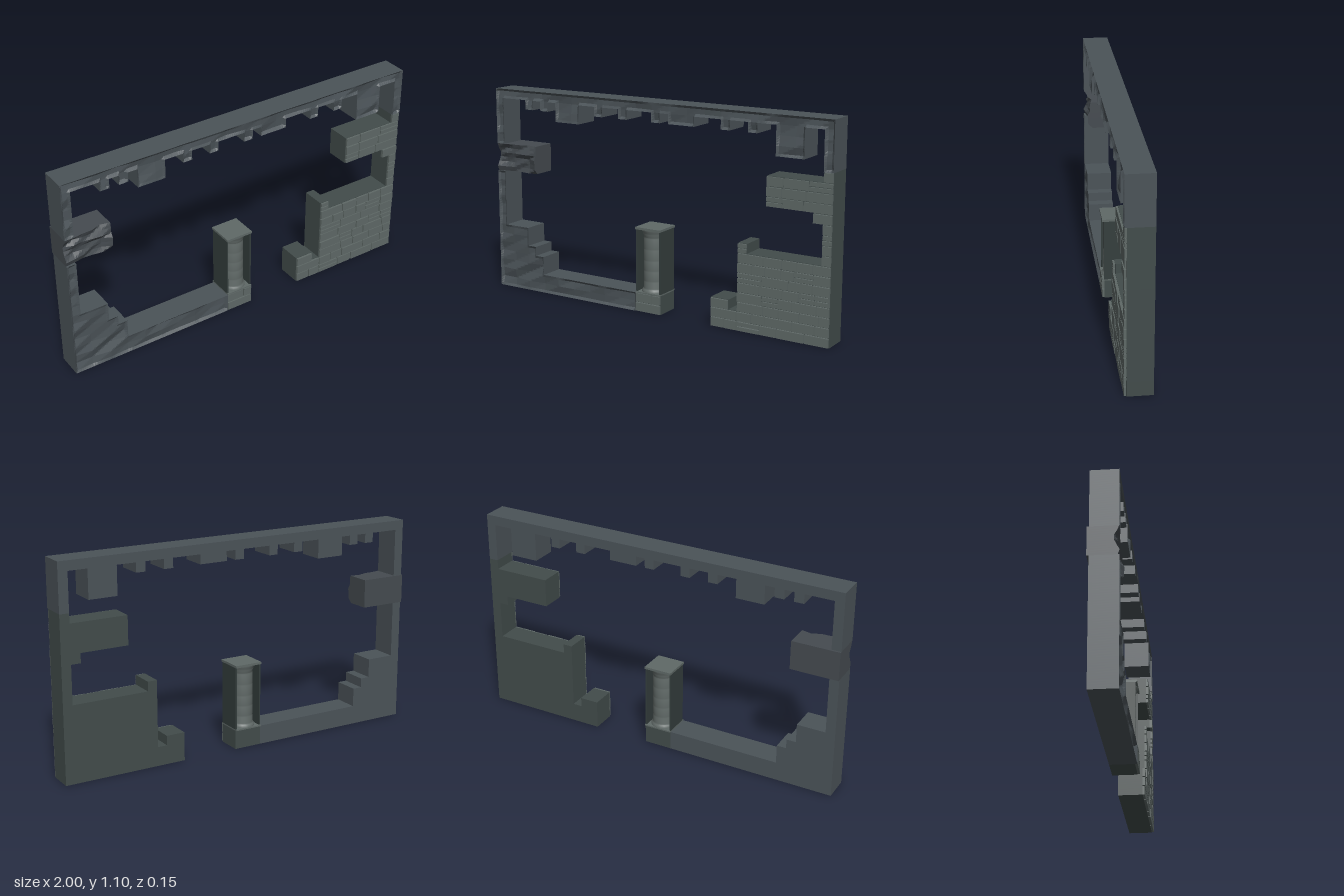
import * as THREE from 'three';
import { mergeGeometries } from 'three/addons/utils/BufferGeometryUtils.js';

const U = 0.05;      // every outline sits on this grid
const BACK = -0.065; // back plane of the walls
const SUB = 4;       // relief steps per grid cell

const mat = (color, flatShading = true) => new THREE.MeshStandardMaterial({ color, flatShading });
const rockMat = mat(0x4b5358), woodMat = mat(0x454b50), wallMat = mat(0x424c4b);
const brickMat = mat(0x5f6967), darkMat = mat(0x343e3d), stoneMat = mat(0x626b69, false);
[rockMat, woodMat, wallMat].forEach((m) => { m.side = THREE.DoubleSide; });

// Repeatable noise
function hash(i, j) {
  const s = Math.sin(i * 127.1 + j * 311.7 + 4.3) * 43758.5453;
  return s - Math.floor(s);
}
function seeded(seed) {
  return () => hash(seed++, 7.7);
}
// Flat triangular facets over a lattice of random heights
function facets(x, y, cx, cy) {
  const u = x / cx, v = y / cy, i = Math.floor(u), j = Math.floor(v);
  const a = u - i, b = v - j, h00 = hash(i, j), h11 = hash(i + 1, j + 1);
  return a > b
    ? h00 + a * (hash(i + 1, j) - h00) + b * (h11 - hash(i + 1, j))
    : h00 + b * (hash(i, j + 1) - h00) + a * (h11 - hash(i, j + 1));
}

function inside(pts, x, y) {
  let c = false;
  pts.forEach(([x1, y1], i) => {
    const [x2, y2] = pts[(i + 1) % pts.length];
    if ((y1 > y) !== (y2 > y) && x < x1 + ((y - y1) / (y2 - y1)) * (x2 - x1)) c = !c;
  });
  return c;
}

// Slab from an outline in grid units: relief front, straight sides, flat back
function slab(pts, back, height) {
  const pos = [];
  const quad = (a, b, c, d) => pos.push(...a, ...b, ...c, ...a, ...c, ...d);
  const solid = (i, j) => inside(pts, i + 0.5, j + 0.5);
  const front = (i, j) => {
    const e = 0.05;
    const edge = ![[-e, -e], [e, -e], [e, e], [-e, e]].every(([p, q]) => inside(pts, i + p, j + q));
    return [i * U, j * U, height(i * U, j * U, edge)];
  };
  const rear = (p) => [p[0], p[1], back];
  const xs = pts.map((p) => p[0]), ys = pts.map((p) => p[1]);
  for (let i = Math.min(...xs); i < Math.max(...xs); i++) {
    for (let j = Math.min(...ys); j < Math.max(...ys); j++) {
      if (!solid(i, j)) continue;
      const wall = (ax, ay, bx, by) => {
        for (let k = 0; k < SUB; k++) {
          const at = (t) => front(ax + (bx - ax) * t, ay + (by - ay) * t);
          const p = at(k / SUB), q = at((k + 1) / SUB);
          quad(p, rear(p), rear(q), q);
        }
      };
      if (!solid(i, j - 1)) wall(i, j, i + 1, j);
      if (!solid(i + 1, j)) wall(i + 1, j, i + 1, j + 1);
      if (!solid(i, j + 1)) wall(i + 1, j + 1, i, j + 1);
      if (!solid(i - 1, j)) wall(i, j + 1, i, j);
      for (let a = 0; a < SUB; a++) {
        for (let b = 0; b < SUB; b++) {
          const x = i + a / SUB, y = j + b / SUB, s = 1 / SUB;
          quad(front(x, y), front(x + s, y), front(x + s, y + s), front(x, y + s));
        }
      }
    }
  }
  const outline = pts.map(([x, y]) => new THREE.Vector2(x * U, y * U));
  for (const [a, b, c] of THREE.ShapeUtils.triangulateShape(outline, [])) {
    for (const k of [a, c, b]) pos.push(outline[k].x, outline[k].y, back);
  }
  const g = new THREE.BufferGeometry();
  g.setAttribute('position', new THREE.Float32BufferAttribute(pos, 3));
  g.computeVertexNormals();
  return g;
}

// Courses of uneven bricks over a rectangle in grid units
function bricks(rects, rnd) {
  const list = [], gap = 0.005;
  for (const [x0, y0, x1, y1] of rects) {
    for (let j = y0; j < y1; j++) {
      let x = x0 * U;
      while (x < x1 * U - 0.001) {
        let w = 0.07 + 0.08 * rnd();
        if (x1 * U - x - w < 0.045) w = x1 * U - x;
        const d = 0.011 + 0.004 * rnd(), split = rnd() < 0.15 ? 2 : 1;
        for (let k = 0; k < split; k++) {
          const h = U / split;
          list.push(new THREE.BoxGeometry(w - gap, h - gap, d)
            .translate(x + w / 2, j * U + h * (k + 0.5), 0.06 + d / 2));
        }
        x += w;
      }
    }
  }
  return mergeGeometries(list);
}

export function createModel() {
  const model = new THREE.Group();
  const add = (name, geo, material, parent = model) => {
    const m = new THREE.Mesh(geo, material);
    m.name = name;
    parent.add(m);
    return m;
  };
  const box = (x0, x1, y0, y1, z0, z1) => new THREE.BoxGeometry(x1 - x0, y1 - y0, z1 - z0)
    .translate((x0 + x1) / 2, (y0 + y1) / 2, (z0 + z1) / 2);

  // Rock: faceted face set back inside a thin rim
  const rockFace = (x, y, edge) => (edge ? 0.073 : 0.054 + 0.02 * facets(x, y, 0.1, 0.05));
  const teeth = [[-16, -15, 20], [-14, -13, 20], [-12, -9, 19], [-7, -6, 20], [-4, -3, 20],
    [0, 1, 20], [2, 5, 20], [8, 9, 20], [11, 12, 20], [14, 17, 18]];
  const ceiling = [[20, 22], [-20, 22], [-20, 16], [-19, 16], [-19, 21]];
  for (const [a, b, y] of teeth) ceiling.push([a, 21], [a, y], [b, y], [b, 21]);
  ceiling.push([19, 21], [19, 17], [20, 17]);
  add('rockCeiling', slab(ceiling, BACK, rockFace), rockMat);
  add('rockFloor', slab([[-20, 0], [-2, 0], [-2, 2], [-14, 2], [-14, 4], [-15, 4], [-15, 5],
    [-16, 5], [-16, 7], [-19, 7], [-19, 13], [-20, 13]], BACK, rockFace), rockMat);

  // Ragged ledge with long horizontal splinters
  add('raggedLedge', slab([[-20, 13], [-15, 13], [-15, 16], [-20, 16]], -0.075,
    (x, y) => 0.042 + 0.033 * facets(x, y, 0.05, 0.025)), woodMat);

  // Brick wall with steps and a ledge
  add('brickWallCore', slab([[7, 0], [20, 0], [20, 17], [19, 17], [19, 16], [13, 16], [13, 13],
    [18, 13], [18, 12], [19, 12], [19, 8], [11, 8], [11, 9], [10, 9], [10, 2], [9, 2], [9, 3],
    [7, 3]], BACK, () => 0.062), wallMat);
  add('wallBricks', bricks([[7, 0, 10, 2], [7, 2, 9, 3], [10, 0, 20, 8], [10, 8, 11, 9],
    [19, 8, 20, 12], [18, 12, 20, 13], [13, 13, 20, 16], [19, 16, 20, 17]], seeded(3)), brickMat);

  // Pillar: brick base, side panels, ringed column, flat cap
  const pillar = new THREE.Group();
  pillar.name = 'pillar';
  model.add(pillar);
  add('pillarBase', box(-0.1, 0.05, 0, 0.1, BACK, 0.062), wallMat, pillar);
  add('baseBricks', bricks([[-2, 0, 1, 2]], seeded(40)), brickMat, pillar);
  add('basePlate', box(-0.1, 0.05, 0.1, 0.107, -0.073, 0.073), brickMat, pillar);
  add('capPlate', box(-0.1, 0.05, 0.438, 0.45, -0.073, 0.073), brickMat, pillar);
  for (const x of [-0.1, 0.042]) {
    add('sidePanel', box(x, x + 0.008, 0.107, 0.438, BACK, 0.065), darkMat, pillar);
  }
  const profile = [[0.066, 0.105], [0.066, 0.113], [0.061, 0.12], [0.057, 0.127]];
  for (const y of [0.165, 0.22, 0.275, 0.335, 0.395]) {
    profile.push([0.057, y - 0.004], [0.053, y], [0.057, y + 0.004]);
  }
  profile.push([0.056, 0.405], [0.061, 0.415], [0.059, 0.42], [0.066, 0.43], [0.066, 0.44]);
  const column = add('column', new THREE.LatheGeometry(
    profile.map(([r, y]) => new THREE.Vector2(r, y)), 24), stoneMat, pillar);
  column.position.x = -0.025;
  column.scale.z = 1.08;
  return model;
}
